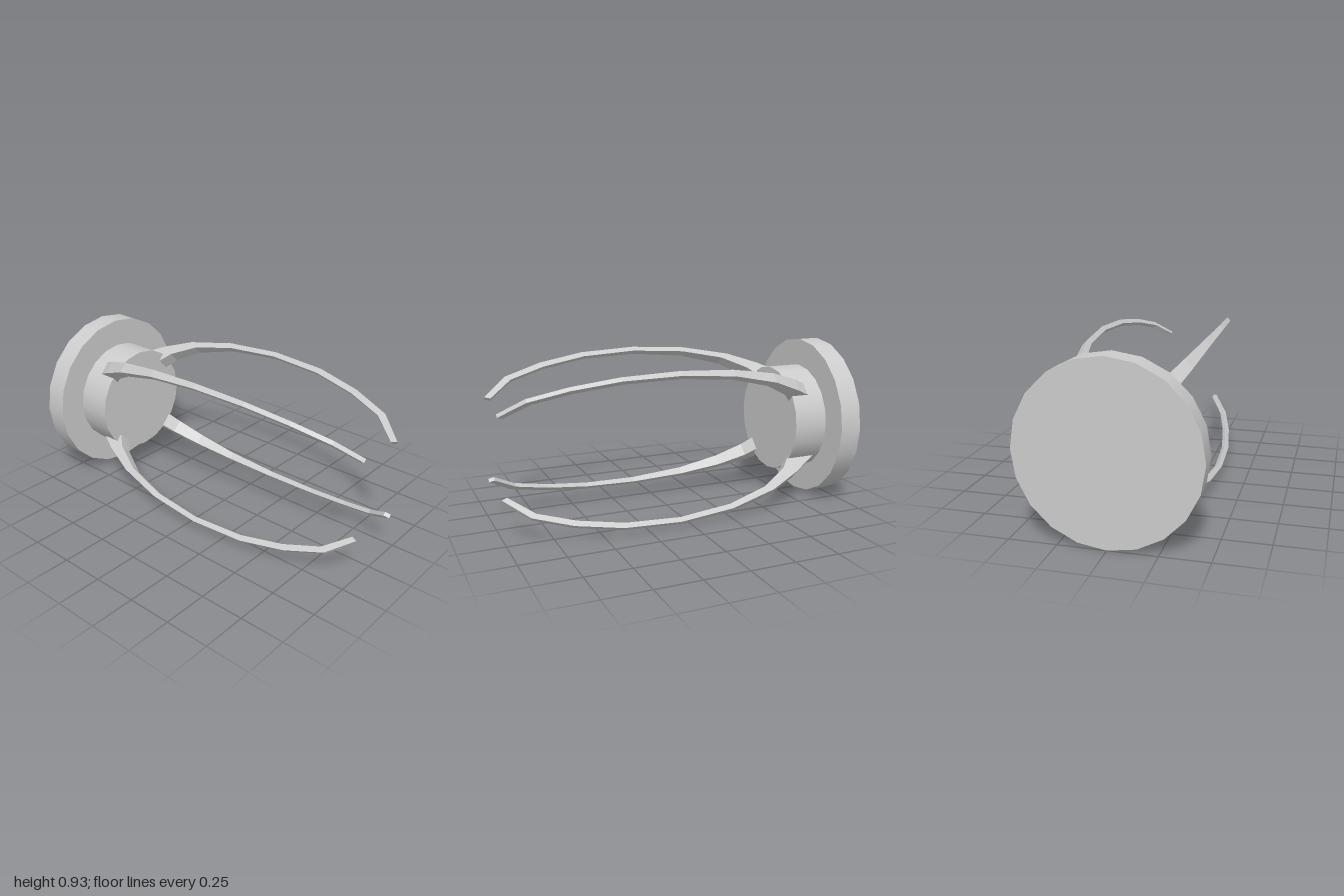
import * as THREE from 'three';

const MID_Y = 0.467;
const material = new THREE.MeshStandardMaterial({ color: 0xcccccc });
const prongMaterial = new THREE.MeshStandardMaterial({ color: 0xcccccc, flatShading: true });

// Prong stations from tip to root: outer z, outer reach, inner z, inner reach, wide-edge offset
const STATIONS = [
  [1.0, 0.0, 0.97, -0.012, 0.011],
  [0.87, 0.122, 0.84, 0.1, 0.012],
  [0.66, 0.2, 0.64, 0.172, 0.013],
  [0.4, 0.255, 0.39, 0.225, 0.015],
  [0.08, 0.272, 0.08, 0.243, 0.02],
  [-0.24, 0.245, -0.23, 0.215, 0.032],
  [-0.52, 0.176, -0.47, 0.15, 0.052],
  [-0.7, 0.092, -0.62, 0.06, 0.068],
  [-0.85, 0.0, -0.68, -0.012, 0.074],
];

// Round plate lying across the z axis
function disc(name, radius, zBack, zFront) {
  const geometry = new THREE.CylinderGeometry(radius, radius, zFront - zBack, 20);
  geometry.rotateX(Math.PI / 2);
  const mesh = new THREE.Mesh(geometry, material);
  mesh.name = name;
  mesh.position.set(0, MID_Y, (zBack + zFront) / 2);
  return mesh;
}

// Curved tapering claw: four-cornered sections swept from tip to root
function prong(name, tipX, tipY, angle, side) {
  const dx = Math.cos(angle), dy = Math.sin(angle);
  const ex = -dy * side, ey = dx * side;
  const point = (reach, across, z) => [
    tipX + dx * reach + ex * across,
    tipY + dy * reach + ey * across,
    z,
  ];
  const sections = STATIONS.map(([zo, ro, zi, ri, wide]) => [
    point(ro, -0.011, zo), point(ro, wide, zo),
    point(ri, wide, zi), point(ri, -0.011, zi),
  ]);
  const positions = [];
  const quad = (a, b, c, d) => {
    const corners = side > 0 ? [a, d, c, a, c, b] : [a, b, c, a, c, d];
    corners.forEach((p) => positions.push(...p));
  };
  for (let i = 0; i < sections.length - 1; i++) {
    const s = sections[i], t = sections[i + 1];
    for (let k = 0; k < 4; k++) {
      const n = (k + 1) % 4;
      quad(s[k], s[n], t[n], t[k]);
    }
  }
  // End caps
  const first = sections[0], last = sections[sections.length - 1];
  quad(first[3], first[2], first[1], first[0]);
  quad(...last);
  const geometry = new THREE.BufferGeometry();
  geometry.setAttribute('position', new THREE.Float32BufferAttribute(positions, 3));
  geometry.computeVertexNormals();
  const mesh = new THREE.Mesh(geometry, prongMaterial);
  mesh.name = name;
  return mesh;
}

export function createModel() {
  const group = new THREE.Group();
  group.name = 'clawGripper';
  group.add(disc('basePlate', 0.467, -1, -0.875));
  group.add(disc('hub', 0.31, -0.9, -0.675));

  // Four prongs around the hub
  const q = Math.PI / 4;
  group.add(prong('upperLeftProng', 0.173, 0.668, q - 0.03, -1));
  group.add(prong('upperRightProng', -0.142, 0.698, 3 * q, 1));
  group.add(prong('lowerRightProng', -0.147, 0.237, 5 * q - 0.03, -1));
  group.add(prong('lowerLeftProng', 0.182, 0.222, -q, 1));
  return group;
}
